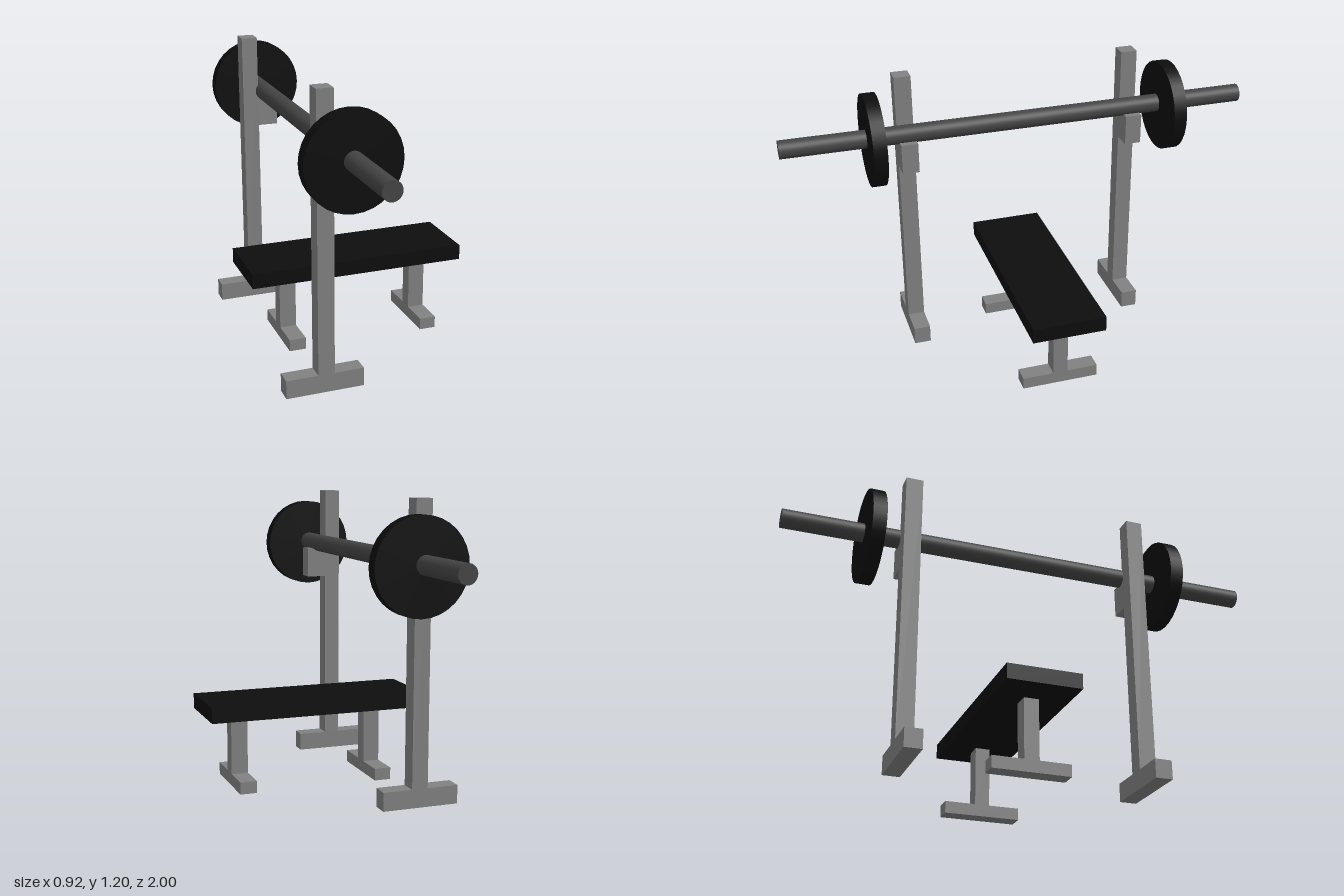
import * as THREE from 'three';

const frameMat = new THREE.MeshStandardMaterial({ color: 0x808080 });
const barMat = new THREE.MeshStandardMaterial({ color: 0x444444 });
const blackMat = new THREE.MeshStandardMaterial({ color: 0x0d0d0d });

// Box given by its extents along each axis
function box(name, mat, [x0, x1], [y0, y1], [z0, z1]) {
  const mesh = new THREE.Mesh(new THREE.BoxGeometry(x1 - x0, y1 - y0, z1 - z0), mat);
  mesh.position.set((x0 + x1) / 2, (y0 + y1) / 2, (z0 + z1) / 2);
  mesh.name = name;
  return mesh;
}

// Cylinder lying along z
function rod(name, mat, radius, length, sides, x, y, z) {
  const geometry = new THREE.CylinderGeometry(radius, radius, length, sides).rotateX(Math.PI / 2);
  const mesh = new THREE.Mesh(geometry, mat);
  mesh.position.set(x, y, z);
  mesh.name = name;
  return mesh;
}

// Upright post with floor foot and bar rest
function createUpright(name, z) {
  const group = new THREE.Group();
  group.name = name;
  const depth = [z - 0.035, z + 0.035];
  group.add(
    box('post', frameMat, [-0.31, -0.243], [0.076, 1.205], depth),
    box('foot', frameMat, [-0.44, -0.122], [0, 0.076], depth),
    box('barRest', frameMat, [-0.243, -0.16], [0.815, 0.943], depth)
  );
  return group;
}

// T-shaped support under the bench
function createBenchLeg(name, x) {
  const group = new THREE.Group();
  group.name = name;
  const width = [x - 0.035, x + 0.035];
  group.add(
    box('leg', frameMat, width, [0.06, 0.31], [-0.031, 0.031]),
    box('foot', frameMat, width, [0.01, 0.06], [-0.161, 0.161])
  );
  return group;
}

export function createModel() {
  const model = new THREE.Group();
  model.name = 'weightBench';

  // Bench
  const bench = new THREE.Group();
  bench.name = 'bench';
  bench.add(
    box('pad', blackMat, [-0.46, 0.458], [0.31, 0.373], [-0.153, 0.153]),
    createBenchLeg('headLeg', -0.277),
    createBenchLeg('footLeg', 0.312)
  );

  // Rack
  const rack = new THREE.Group();
  rack.name = 'rack';
  rack.add(createUpright('frontUpright', 0.483), createUpright('backUpright', -0.493));

  // Barbell
  const barbell = new THREE.Group();
  barbell.name = 'barbell';
  barbell.add(
    rod('bar', barMat, 0.038, 2, 32, -0.216, 0.968, 0),
    rod('frontPlate', blackMat, 0.191, 0.056, 32, -0.215, 0.961, 0.623),
    rod('backPlate', blackMat, 0.191, 0.056, 32, -0.204, 0.961, -0.645)
  );

  model.add(bench, rack, barbell);
  return model;
}
